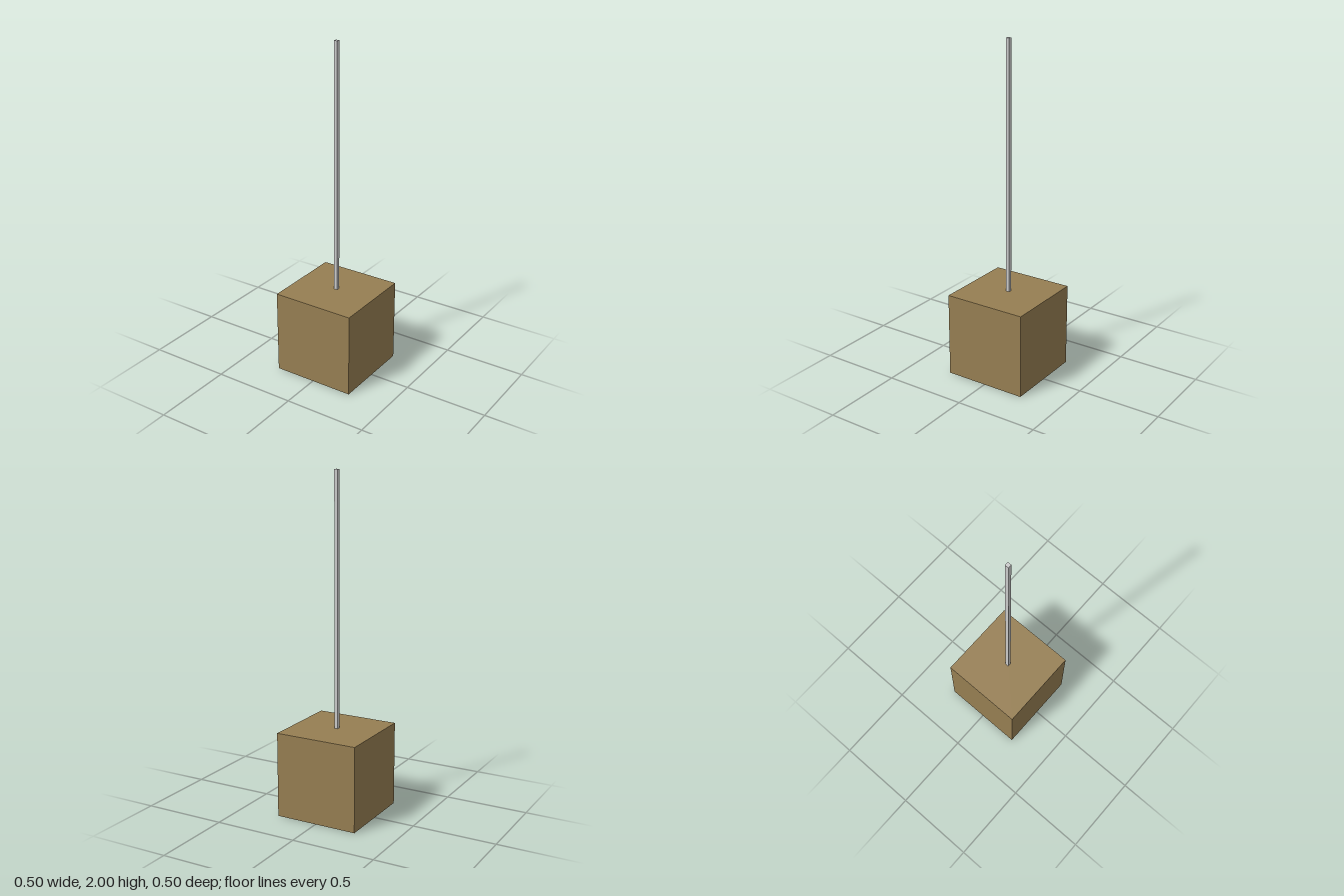
import * as THREE from 'three';

const SIZE = 0.505;   // outer width of the shade
const WALL = 0.02;    // wall thickness
const TOP = 0.508;    // height of the shade's top face
const ROD = 0.022;    // width of the square rod

export function createModel() {
  const group = new THREE.Group();
  const shadeMaterial = new THREE.MeshStandardMaterial({ color: 0x967e52 });
  const rodMaterial = new THREE.MeshStandardMaterial({ color: 0xcccccc });

  const add = (name, geometry, material, y) => {
    const mesh = new THREE.Mesh(geometry, material);
    mesh.name = name;
    mesh.position.y = y;
    group.add(mesh);
  };

  // Square outline, used for the shade's walls and their opening
  const square = (Type, size) => {
    const h = size / 2;
    return new Type([[-h, -h], [h, -h], [h, h], [-h, h]].map(([x, y]) => new THREE.Vector2(x, y)));
  };

  // Four walls, open at the bottom
  const outline = square(THREE.Shape, SIZE);
  outline.holes.push(square(THREE.Path, SIZE - 2 * WALL));
  const walls = new THREE.ExtrudeGeometry(outline, { depth: TOP - WALL, bevelEnabled: false });
  walls.rotateX(-Math.PI / 2);
  add('shadeWalls', walls, shadeMaterial, 0);

  // Closed top
  add('shadeTop', new THREE.BoxGeometry(SIZE, WALL, SIZE), shadeMaterial, TOP - WALL / 2);

  // Hanging rod
  add('hangingRod', new THREE.BoxGeometry(ROD, 2 - TOP, ROD), rodMaterial, (2 + TOP) / 2);

  return group;
}
